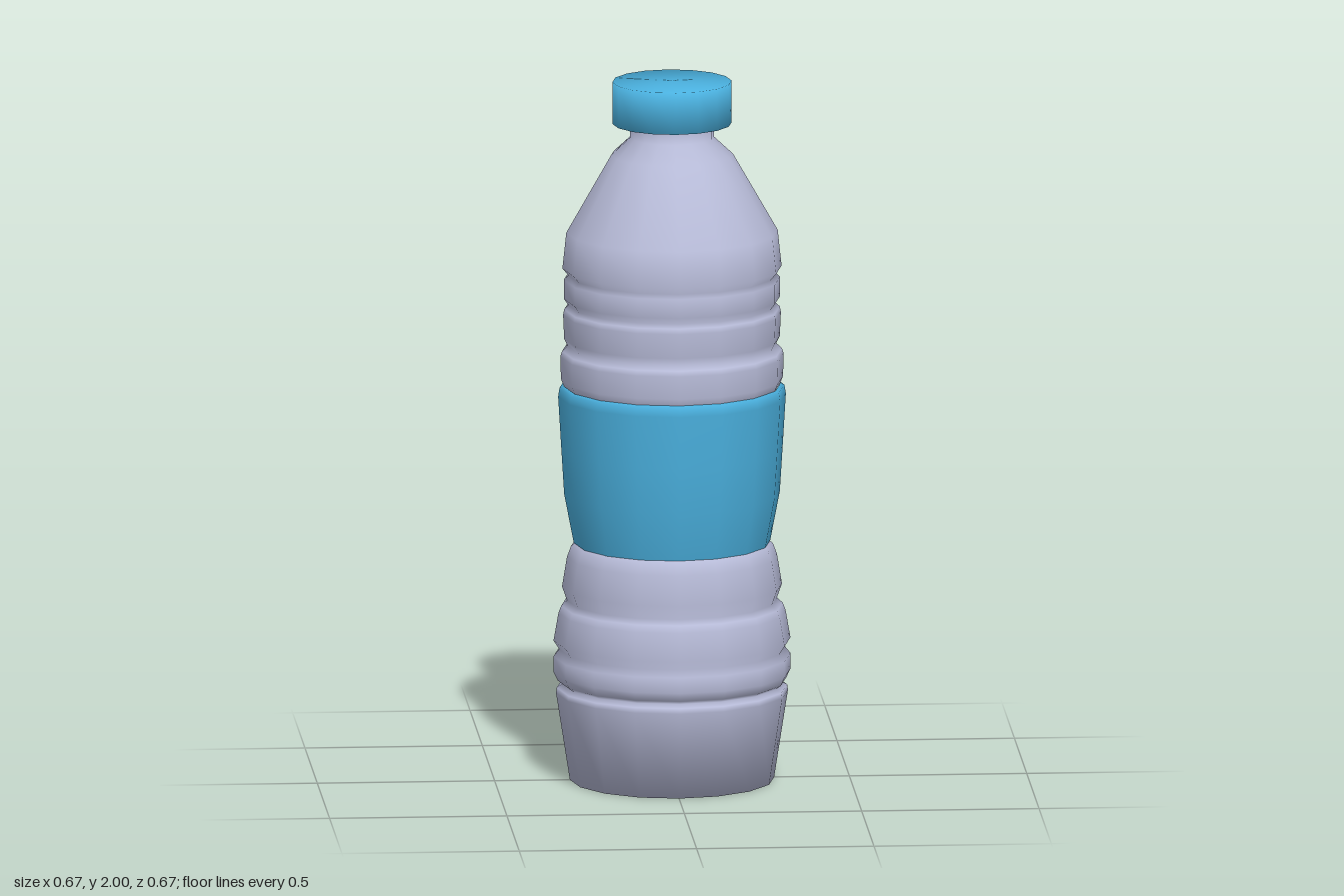
import * as THREE from 'three';

const SIDES = 16;

export function createModel() {
  const plastic = new THREE.MeshStandardMaterial({ color: 0xb9bdda });
  plastic.name = 'pale plastic';
  const blue = new THREE.MeshStandardMaterial({ color: 0x4ab0de });
  blue.name = 'blue';

  const bottle = new THREE.Group();
  bottle.name = 'bottle';

  // Turn a [radius, height] profile, listed from bottom to top
  function turned(name, material, profile) {
    const points = profile.map(([r, y]) => new THREE.Vector2(r, y));
    const mesh = new THREE.Mesh(new THREE.LatheGeometry(points, SIDES), material);
    mesh.name = name;
    bottle.add(mesh);
  }

  // Base and lower grip ribs
  turned('lowerBody', plastic, [
    [0, 0], [0.288, 0], [0.327, 0.25], [0.325, 0.265], [0.308, 0.275],
    [0.322, 0.285], [0.334, 0.31], [0.334, 0.355], [0.318, 0.375],
    [0.334, 0.4], [0.32, 0.48], [0.312, 0.5], [0.296, 0.515],
    [0.31, 0.555], [0.296, 0.64], [0.285, 0.67], [0.272, 0.682],
  ]);

  // Wrapped label band
  turned('label', blue, [
    [0.272, 0.676], [0.277, 0.68], [0.304, 0.82], [0.312, 0.95],
    [0.321, 1.1], [0.317, 1.125], [0.306, 1.13],
  ]);

  // Upper ribs, shoulder and neck
  turned('upperBody', plastic, [
    [0.304, 1.128], [0.313, 1.15], [0.315, 1.215], [0.31, 1.23],
    [0.294, 1.245], [0.304, 1.265], [0.307, 1.335], [0.304, 1.35],
    [0.292, 1.362], [0.305, 1.38], [0.305, 1.435], [0.292, 1.447],
    [0.309, 1.467], [0.298, 1.57], [0.172, 1.79], [0.118, 1.84],
    [0.118, 1.885],
  ]);

  // Screw cap
  turned('cap', blue, [
    [0.1, 1.88], [0.168, 1.88], [0.168, 2], [0, 2],
  ]);

  return bottle;
}
